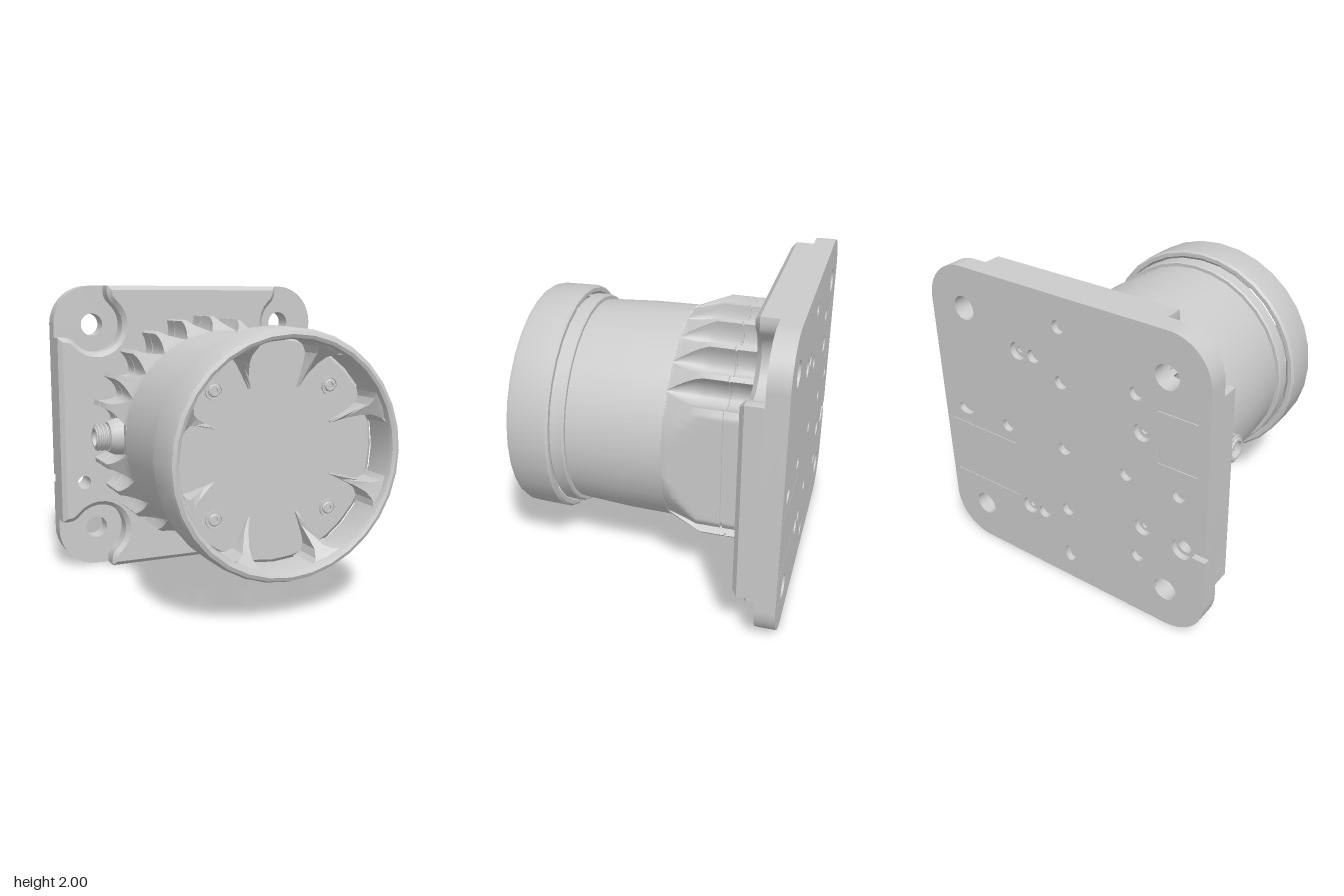
import * as THREE from 'three';
import { toCreasedNormals } from 'three/addons/utils/BufferGeometryUtils.js';

const TAU = Math.PI * 2;
const grey = new THREE.MeshStandardMaterial({ color: 0xcccccc });

// All parts are laid out around the barrel axis (z); the group is lifted to y = 1 at the end.
function add(parent, name, geometry, crease = 0.5) {
  const mesh = new THREE.Mesh(toCreasedNormals(geometry, crease), grey);
  mesh.name = name;
  parent.add(mesh);
  return mesh;
}

// Turned part along z from [radius, z] pairs, z rising on the outside
function turned(points, segments = 32) {
  const g = new THREE.LatheGeometry(points.map(p => new THREE.Vector2(p[0], p[1])), segments);
  return g.rotateX(Math.PI / 2);
}

const oval = (x, y, rx, ry = rx) => new THREE.Path().absellipse(x, y, rx, ry, 0, TAU, true);

function slab(shape, z0, z1) {
  return new THREE.ExtrudeGeometry(shape, { depth: z1 - z0, bevelEnabled: false, curveSegments: 20 }).translate(0, 0, z0);
}

// Thin engraved U: arms from x0 to x1, spine at x0
function engraving(x0, x1, y0, y1, w = 0.005) {
  const s = Math.sign(x1 - x0) * w;
  return new THREE.Path([[x0, y0], [x1, y0], [x1, y0 + w], [x0 + s, y0 + w],
    [x0 + s, y1 - w], [x1, y1 - w], [x1, y1], [x0, y1]].map(p => new THREE.Vector2(...p)));
}

// Rounded square, optionally with the drain slot cut into its -x edge
function plateShape(withSlot) {
  const r = 0.27, c = 1 - r, s = new THREE.Shape();
  s.absarc(c, c, r, 0, Math.PI / 2);
  s.absarc(-c, c, r, Math.PI / 2, Math.PI);
  if (withSlot) {
    s.lineTo(-1, -0.337);
    s.absarc(-0.845, -0.365, 0.07, Math.PI - 0.41, Math.PI + 0.41, true);
    s.lineTo(-1, -0.393);
  }
  s.absarc(-c, -c, r, Math.PI, Math.PI * 1.5);
  s.absarc(c, -c, r, Math.PI * 1.5, TAU);
  s.closePath();
  for (const x of [-0.73, 0.73]) for (const y of [-0.73, 0.73]) s.holes.push(oval(x, y, 0.077));
  return s;
}

// Raised pad: one corner with its round relief, turned four times
function padShape() {
  const fillet = [[1, 0.645], [0.965, 0.648], [0.925, 0.642], [0.89, 0.622]];
  const corner = [...fillet];
  for (let i = 0; i <= 13; i++) {
    const a = THREE.MathUtils.degToRad(-42 - i * 186 / 13);
    corner.push([0.73 + 0.19 * Math.cos(a), 0.73 + 0.19 * Math.sin(a)]);
  }
  corner.push(...fillet.map(([x, y]) => [y, x]).reverse());
  const pts = [];
  for (let k = 0; k < 4; k++) {
    for (const p of corner) {
      const v = new THREE.Vector2(...p);
      for (let n = 0; n < k; n++) v.set(-v.y, v.x);
      pts.push(v);
    }
  }
  const s = new THREE.Shape(pts);
  s.holes.push(oval(-0.845, -0.365, 0.047));
  return s;
}

// Finned rear barrel: scallops deepen from nothing at the front to full depth,
// with a flat panel on the +x side and no fin behind the connector
function finnedBarrel() {
  const rings = [-0.1, -0.12, -0.15, -0.18, -0.22, -0.27, -0.32, -0.472, -0.474, -0.484, -0.486, -0.63];
  const across = [0, 0.25, 0.5, 0.7, 0.85, 0.95, 1]; // valley middle to fin edge
  const steps = [...across.map(w => [-1, w]), ...across.slice(1).reverse().map(w => [1, w])];
  const n = 24 * steps.length, pos = [], index = [];
  rings.forEach((z, i) => {
    const t = THREE.MathUtils.clamp((-0.1 - z) / 0.22, 0, 1);
    const half = 0.08 + 0.4 * (1 - t) ** 1.7;
    const seam = i === 8 || i === 9 ? 0.012 : 0;
    const tip = 0.70 + 0.09 * t, valley = 0.70 - 0.045 * t;
    for (let f = 0; f < 24; f++) {
      for (const [side, w] of steps) {
        const a = (f + side * (0.5 - (0.5 - half) * w)) * TAU / 24;
        let r = valley + (tip - valley) * (1 - Math.sqrt(1 - w * w));
        if (f === 12) r = valley;
        if (Math.cos(a) > 0.86) r = Math.min(tip, 0.70 / Math.cos(a));
        pos.push((r - seam) * Math.cos(a), (r - seam) * Math.sin(a), z);
      }
    }
    if (i === 0) return;
    for (let j = 0; j < n; j++) {
      const k = (j + 1) % n, a = (i - 1) * n + j, b = (i - 1) * n + k, c = i * n + j, d = i * n + k;
      index.push(a, c, b, b, c, d);
    }
  });
  const g = new THREE.BufferGeometry();
  g.setAttribute('position', new THREE.Float32BufferAttribute(pos, 3));
  g.setIndex(index);
  return g;
}

// Tapered rib on the sunken face, flaring into the rim and sweeping down to its tip
function faceRib(floor) {
  const side = [[0.42, 0.007], [0.5, 0.013], [0.58, 0.02], [0.63, 0.032], [0.665, 0.065], [0.68, 0.12]];
  const outline = [...side.map(p => [p[0], -p[1]]), [0.71, -0.12], [0.71, 0.12], ...side.slice().reverse()];
  const g = new THREE.ExtrudeGeometry(new THREE.Shape(outline.map(p => new THREE.Vector2(...p))), { depth: 1, bevelEnabled: false });
  const p = g.attributes.position;
  for (let i = 0; i < p.count; i++) {
    const s = THREE.MathUtils.clamp((p.getX(i) - 0.42) / 0.26, 0, 1);
    p.setZ(i, floor + (p.getZ(i) > 0.5 ? 0.01 + 0.21 * s ** 1.8 : -0.01));
  }
  return g;
}

export function createModel() {
  const model = new THREE.Group();
  model.name = 'flangedHousing';
  const body = new THREE.Group();
  body.name = 'housing';
  body.position.y = 1;
  model.add(body);

  // Mounting plate: rear layer with blind holes and engravings, solid front layer
  const rear = plateShape(true);
  const small = [[0, 0.81], [0.2, 0.565], [0, 0.456], [0.455, 0], [0, 0], [-0.53, 0.565], [-0.455, 0],
    [-0.815, 0], [0, -0.456], [0.2, -0.565], [-0.53, -0.565]];
  const large = [[0.32, 0.565], [0.32, -0.565], [-0.57, 0.33], [-0.57, -0.33]];
  small.forEach(([x, y]) => rear.holes.push(oval(x, y, 0.042)));
  large.forEach(([x, y]) => rear.holes.push(oval(x, y, 0.057)));
  rear.holes.push(oval(0.815, 0, 0.06, 0.04), oval(0, -0.81, 0.04, 0.06));
  rear.holes.push(engraving(0.96, 0.4, -0.52, -0.11), engraving(-0.67, -0.93, 0.17, 0.51));
  add(body, 'plateRear', slab(rear, -0.89, -0.85));
  const front = plateShape(false);
  front.holes.push(oval(-0.845, -0.365, 0.047));
  add(body, 'plateFront', slab(front, -0.85, -0.76));
  for (const [x, y] of large) {
    add(body, 'plateScrew', turned([[0.02, -0.85], [0.02, -0.865], [0.038, -0.865], [0.038, -0.845]], 16).translate(x, y, 0));
  }
  const pad = new THREE.ExtrudeGeometry(padShape(), {
    depth: 0.11, bevelThickness: 0.03, bevelSize: 0.03, bevelOffset: -0.03, bevelSegments: 1, curveSegments: 12 });
  add(body, 'raisedPad', pad.translate(0, 0, -0.76));
  add(body, 'drainCollar', turned([[0.08, -0.66], [0.08, -0.62], [0.047, -0.62], [0.047, -0.76]], 24).translate(-0.845, -0.365, 0));

  // Barrel, closed by the sunken front face
  const floor = 0.635;
  add(body, 'finnedBarrel', finnedBarrel());
  add(body, 'barrel', turned([[0.70, -0.1], [0.695, 0.2], [0.675, 0.52], [0.697, 0.52], [0.705, 0.53],
    [0.705, 0.61], [0.675, floor], [0, floor]]));

  // Front cap: a ring with a narrow gap around the barrel
  add(body, 'frontCap', turned([[0.72, 0.605], [0.745, 0.605], [0.758, 0.62], [0.752, 0.85], [0.738, 0.88],
    [0.715, 0.89], [0.695, 0.88], [0.685, 0.85], [0.685, 0.65], [0.72, 0.605]]));
  for (let k = 0; k < 8; k++) add(body, 'faceRib', faceRib(floor).rotateZ((k + 0.5) * TAU / 8));
  for (const x of [-0.385, 0.385]) for (const y of [-0.385, 0.385]) {
    const screw = new THREE.Group();
    screw.name = 'faceScrew';
    screw.position.set(x, y, floor);
    add(screw, 'washer', turned([[0.058, 0], [0.058, 0.012], [0.044, 0.012], [0.044, 0.002]], 20));
    add(screw, 'screwHead', turned([[0.038, 0], [0.038, 0.01], [0.032, 0.016], [0.019, 0.016], [0.019, 0.003], [0, 0.003]], 12));
    body.add(screw);
  }

  // Threaded cable connector on the -x side
  const connector = new THREE.Group();
  connector.name = 'connector';
  connector.position.set(-0.66, 0, -0.31);
  connector.rotation.y = -Math.PI / 2;
  add(connector, 'connectorBoss', turned([[0.13, -0.02], [0.12, 0.06], [0.1, 0.1], [0, 0.1]], 24));
  add(connector, 'connectorBarrel', turned([[0.078, 0.08], [0.078, 0.18], [0.07, 0.19], [0.056, 0.19], [0.056, 0.13], [0, 0.13]], 24));
  for (const z of [0.115, 0.143, 0.171]) {
    add(connector, 'connectorThread', new THREE.TorusGeometry(0.08, 0.011, 6, 24).translate(0, 0, z), 1.2);
  }
  add(connector, 'connectorPin', turned([[0.015, 0.13], [0.015, 0.17], [0, 0.175]], 8));
  body.add(connector);
  return model;
}
